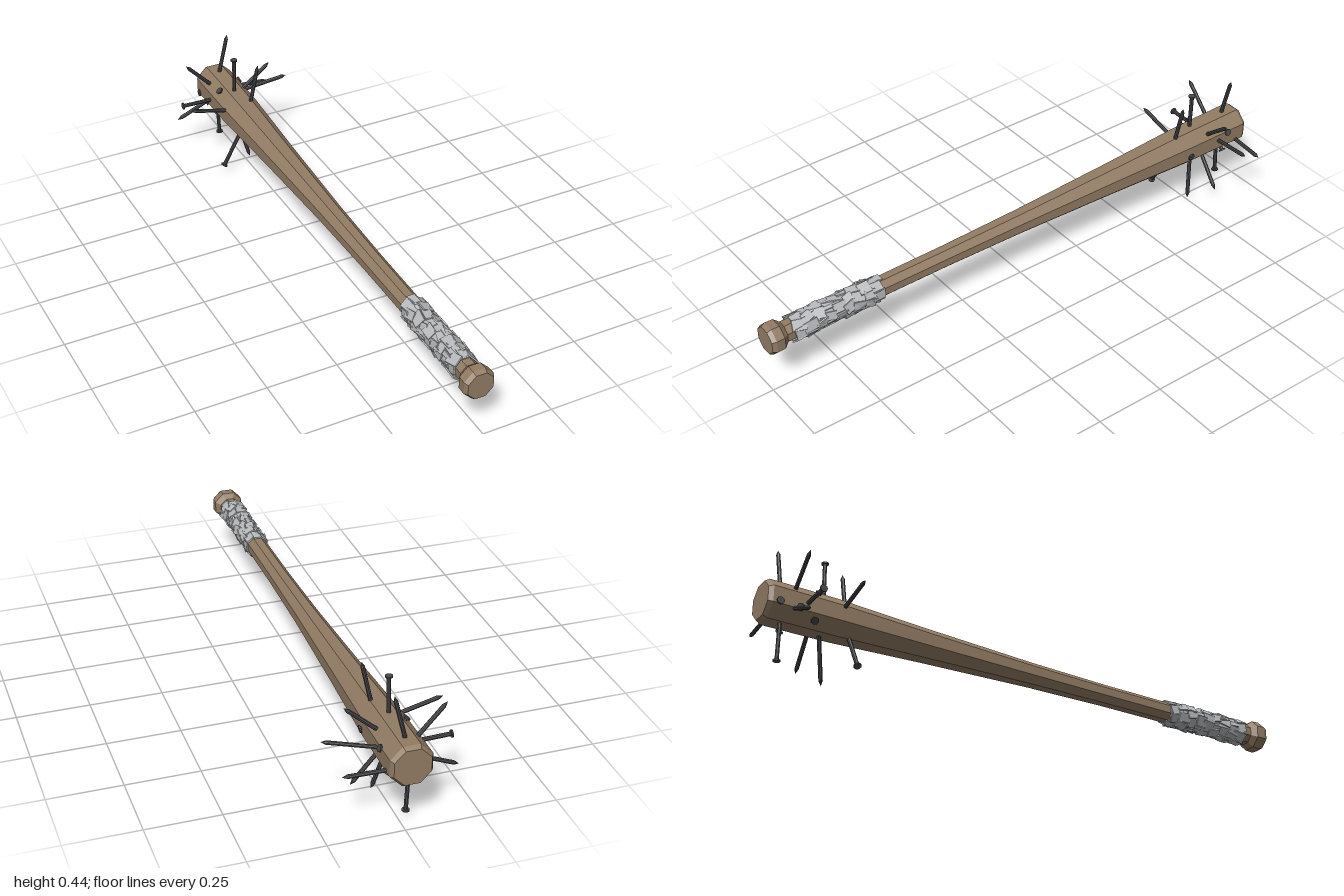
import * as THREE from 'three';

const wood = new THREE.MeshStandardMaterial({ color: 0x927c64 });
wood.name = 'wood';
const iron = new THREE.MeshStandardMaterial({ color: 0x48484b });
iron.name = 'dark iron';
const tape = new THREE.MeshStandardMaterial({ color: 0xb9bbbe });
tape.name = 'grey tape';

const AXIS_X = -0.018;
// the bat's axis rises slightly from knob to barrel
const axisY = z => 0.2135 - 0.0115 * z;

// small seeded generator, -1..1
let seed = 11;
function jitter() {
  seed = (seed * 16807) % 2147483647;
  return (seed / 2147483647) * 2 - 1;
}

function faceted(geometry) {
  const g = geometry.index ? geometry.toNonIndexed() : geometry;
  g.computeVertexNormals();
  return g;
}

// octagonal turned piece along z, from [z, half width] pairs
function octagonal(profile, name, material) {
  const pts = profile.map(([z, r]) => new THREE.Vector2(r / Math.cos(Math.PI / 8), z));
  const g = new THREE.LatheGeometry(pts, 8, Math.PI / 8).rotateX(Math.PI / 2);
  const p = g.attributes.position;
  for (let i = 0; i < p.count; i++) {
    p.setXY(i, p.getX(i) + AXIS_X, p.getY(i) + axisY(p.getZ(i)));
  }
  const mesh = new THREE.Mesh(faceted(g), material);
  mesh.name = name;
  return mesh;
}

// nail with a flat head and a pointed tip
function nail(head, tip) {
  const a = new THREE.Vector3(...head), b = new THREE.Vector3(...tip);
  const length = a.distanceTo(b);
  const pts = [
    [0, 0], [0.013, 0], [0.013, 0.005], [0.0072, 0.006],
    [0.0072, length - 0.018], [0, length],
  ].map(([x, y]) => new THREE.Vector2(x, y));
  const mesh = new THREE.Mesh(faceted(new THREE.LatheGeometry(pts, 8)), iron);
  mesh.position.copy(a);
  mesh.quaternion.setFromUnitVectors(new THREE.Vector3(0, 1, 0), b.sub(a).normalize());
  mesh.name = 'nail';
  return mesh;
}

// overlapping torn strips around the grip
function gripTape() {
  const group = new THREE.Group();
  group.name = 'gripTape';
  group.add(octagonal([[0.575, 0.034], [0.575, 0.039], [0.9, 0.04], [0.9, 0.034]], 'tapeSleeve', tape));
  const rows = 9, around = 8;
  for (let i = 0; i < rows; i++) {
    for (let j = 0; j < around; j++) {
      const z = 0.593 + i * 0.0365 + jitter() * 0.006;
      const angle = ((j + (i % 2) * 0.5) / around) * Math.PI * 2 + jitter() * 0.15;
      const r = 0.0405 + jitter() * 0.0025;
      const g = new THREE.BoxGeometry(0.034 + jitter() * 0.006, 0.005, 0.044 + jitter() * 0.008);
      const strip = new THREE.Mesh(g, tape);
      strip.rotation.set(jitter() * 0.1, jitter() * 0.35, -angle + jitter() * 0.14, 'ZXY');
      strip.position.set(AXIS_X + Math.sin(angle) * r, axisY(z) + Math.cos(angle) * r, z);
      strip.name = 'tapeStrip';
      group.add(strip);
    }
  }
  return group;
}

export function createModel() {
  const model = new THREE.Group();
  model.name = 'nailedBat';

  // barrel tapering into the handle
  model.add(octagonal([
    [-1, 0], [-1, 0.06], [-0.985, 0.069], [-0.75, 0.067], [-0.4, 0.053],
    [0, 0.04], [0.3, 0.035], [0.6, 0.034], [0.945, 0.035],
  ], 'barrelAndHandle', wood));

  // knob at the grip end
  model.add(octagonal([
    [0.935, 0.034], [0.955, 0.051], [0.985, 0.052], [1, 0.045], [1, 0],
  ], 'knob', wood));

  model.add(gripTape());

  // nails as [head, tip]
  const nails = new THREE.Group();
  nails.name = 'nails';
  [
    // driven through, points sticking out
    [[-0.045, 0.17, -0.935], [0.022, 0.441, -0.935]],
    [[-0.022, 0.165, -0.695], [0.037, 0.427, -0.695]],
    [[-0.076, 0.172, -0.835], [0.138, 0.353, -0.817]],
    [[-0.092, 0.2, -0.892], [0.218, 0.264, -0.84]],
    [[-0.093, 0.204, -0.962], [0.186, 0.196, -0.944]],
    [[-0.068, 0.284, -0.82], [0.111, 0.067, -0.81]],
    [[-0.04, 0.275, -0.815], [0.022, 0.002, -0.758]],
    [[0.057, 0.252, -0.908], [-0.205, 0.143, -0.91]],
    [[0.056, 0.212, -0.735], [-0.22, 0.281, -0.735]],
    [[0.034, 0.158, -0.908], [-0.163, 0.369, -0.902]],
    // half driven, heads sticking out
    [[-0.018, 0.42, -0.785], [-0.024, 0.17, -0.785]],
    [[-0.199, 0.226, -0.866], [0.04, 0.22, -0.866]],
    [[-0.112, 0.034, -0.697], [0.0, 0.23, -0.697]],
    [[-0.025, 0.026, -0.935], [-0.034, 0.24, -0.935]],
  ].forEach(([head, tip]) => nails.add(nail(head, tip)));
  model.add(nails);

  return model;
}
